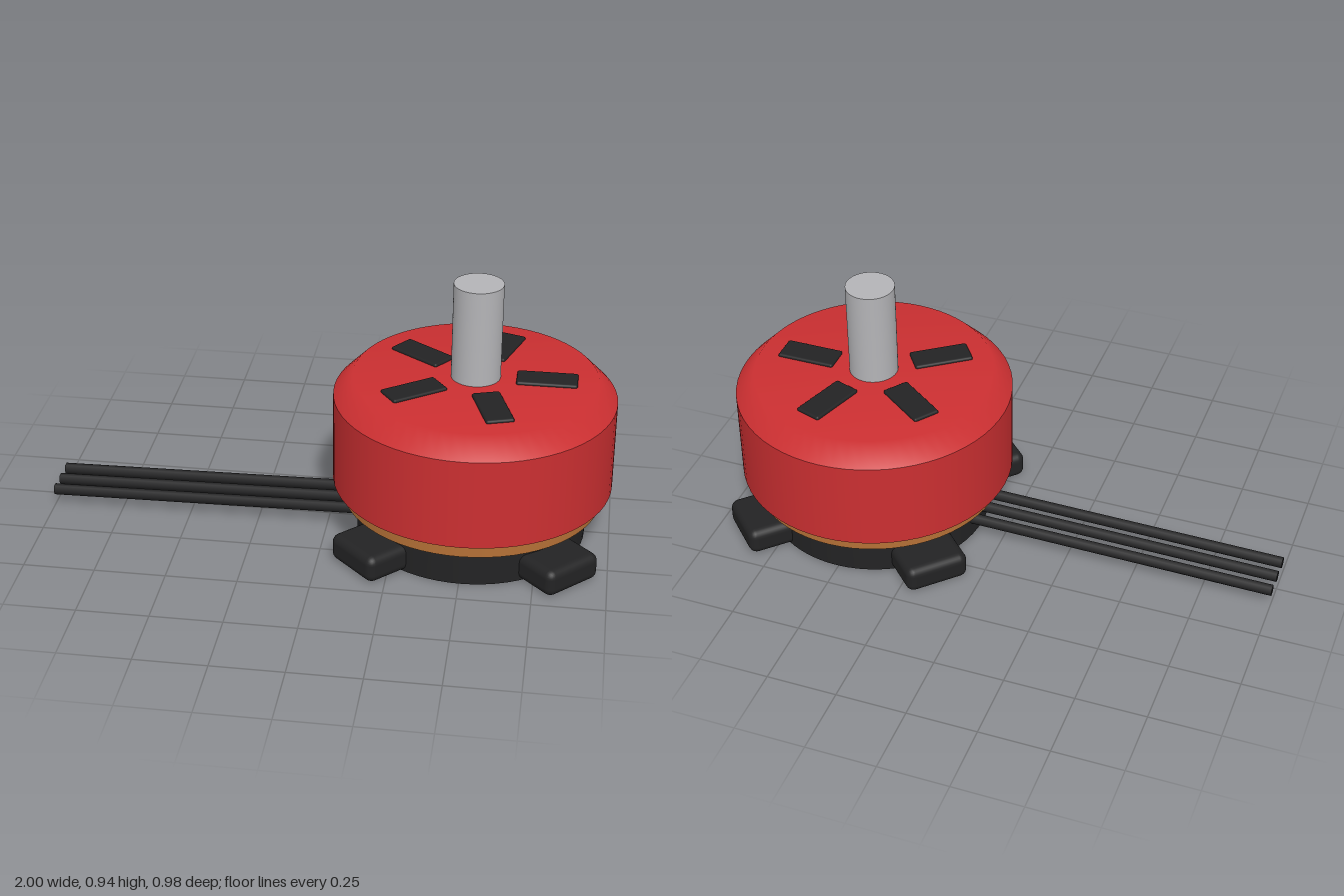
import * as THREE from 'three';
import { RoundedBoxGeometry } from 'three/addons/geometries/RoundedBoxGeometry.js';

const material = (name, color) => {
  const m = new THREE.MeshStandardMaterial({ color });
  m.name = name;
  return m;
};

export function createModel() {
  const red = material('red', 0xcb2f31);
  const black = material('black', 0x232324);
  const copper = material('copper', 0xb47036);
  const steel = material('steel', 0xb4b4b7);

  const model = new THREE.Group();
  model.name = 'brushlessMotor';
  const motor = new THREE.Group();
  motor.name = 'motor';
  motor.position.x = 0.507;
  model.add(motor);

  const add = (parent, name, geometry, mat) => {
    const mesh = new THREE.Mesh(geometry, mat);
    mesh.name = name;
    parent.add(mesh);
    return mesh;
  };
  // Upright cylinder between two heights
  const disc = (name, radius, y0, y1, mat) => {
    const mesh = add(motor, name, new THREE.CylinderGeometry(radius, radius, y1 - y0, 64), mat);
    mesh.position.y = (y0 + y1) / 2;
  };

  // Stator and shaft
  disc('base', 0.405, 0, 0.15, black);
  disc('windings', 0.457, 0.14, 0.22, copper);
  disc('shaft', 0.086, 0.5, 0.94, steel);

  // Rotor bell: straight wall with a flat underside, and a softly shaded bevelled top
  const profile = (points) =>
    new THREE.LatheGeometry(points.map(([r, y]) => new THREE.Vector2(r, y)), 64);
  add(motor, 'bellUnderside', profile([[0, 0.197], [0.492, 0.197]]), red);
  add(motor, 'bellWall', profile([[0.492, 0.197], [0.492, 0.522]]), red);
  add(motor, 'bellTop', profile([[0.492, 0.522], [0.424, 0.592], [0, 0.592]]), red);

  // Five cooling slots on the bell
  for (let i = 0; i < 5; i++) {
    const pivot = new THREE.Group();
    pivot.name = 'slotPivot';
    pivot.rotation.y = (i * Math.PI * 2) / 5;
    motor.add(pivot);
    const slot = add(pivot, 'coolingSlot', new RoundedBoxGeometry(0.21, 0.03, 0.098, 2, 0.008), black);
    slot.position.set(0.246, 0.587, 0);
  }

  // Four mounting feet on the diagonals
  for (let i = 0; i < 4; i++) {
    const pivot = new THREE.Group();
    pivot.name = 'footPivot';
    pivot.rotation.y = Math.PI / 4 + (i * Math.PI) / 2;
    motor.add(pivot);
    const foot = add(pivot, 'mountingFoot', new RoundedBoxGeometry(0.185, 0.098, 0.23, 3, 0.03), black);
    foot.position.set(0.452, 0.05, 0);
  }

  // Three lead wires running out to the side, sloping slightly down
  for (const z of [-0.079, -0.002, 0.075]) {
    const start = new THREE.Vector3(-1, 0.06, z);
    const end = new THREE.Vector3(0.25, 0.075, z);
    const geometry = new THREE.CylinderGeometry(0.02, 0.02, start.distanceTo(end), 6);
    const wire = add(model, 'leadWire', geometry, black);
    wire.position.copy(start).lerp(end, 0.5);
    wire.quaternion.setFromUnitVectors(new THREE.Vector3(0, 1, 0), end.clone().sub(start).normalize());
  }

  return model;
}
